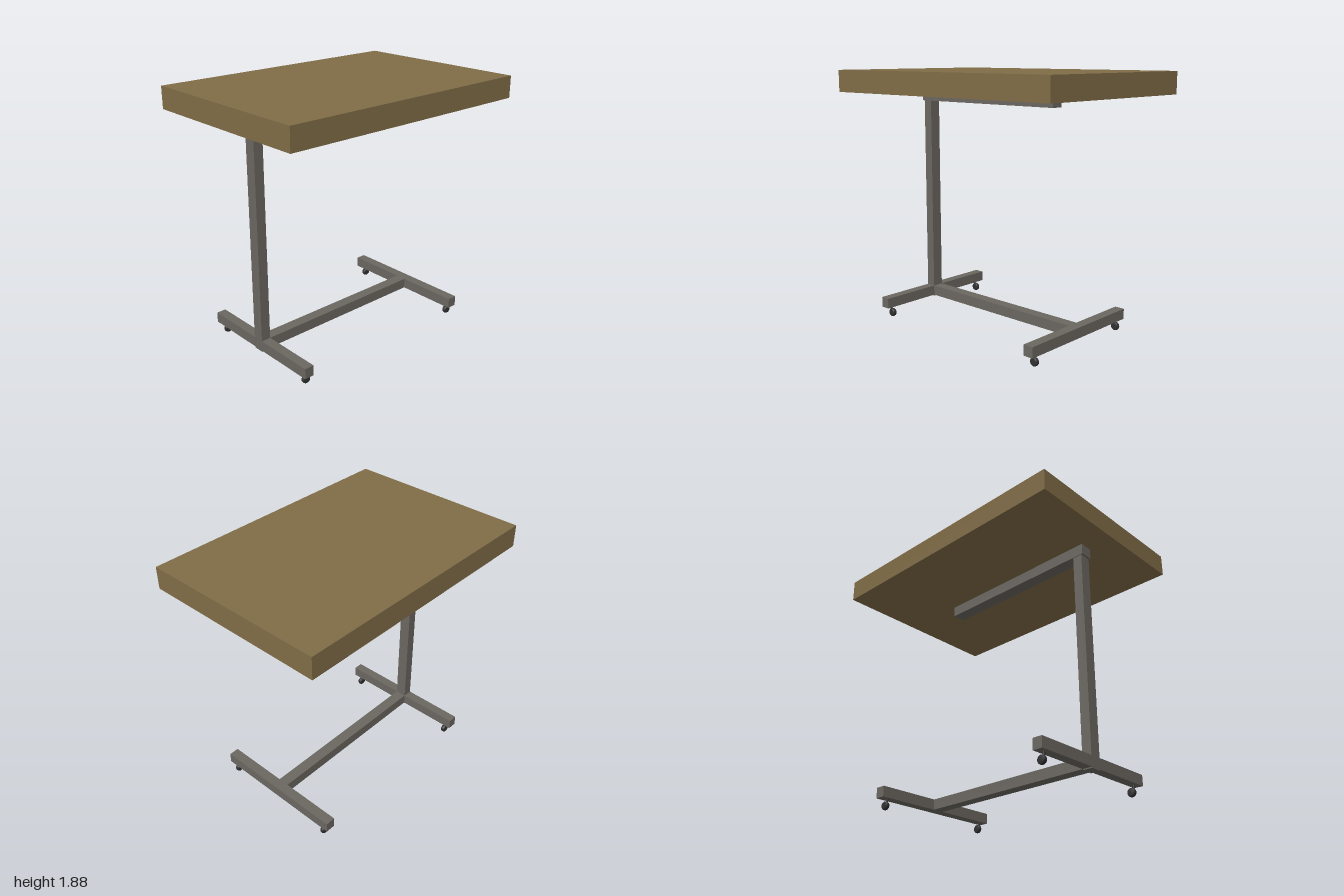
import * as THREE from 'three';

export function createModel() {
  const model = new THREE.Group();
  model.name = 'rollingTable';

  const mat = (name, color) => {
    const m = new THREE.MeshStandardMaterial({ color });
    m.name = name;
    return m;
  };
  const wood = mat('wood', 0x806d47);
  const steel = mat('steel', 0x6b6660);
  const rubber = mat('rubber', 0x303030);

  // Box given by its extents in x and y and its half depth in z
  const bar = (name, material, x0, x1, y0, y1, halfZ) => {
    const mesh = new THREE.Mesh(new THREE.BoxGeometry(x1 - x0, y1 - y0, halfZ * 2), material);
    mesh.position.set((x0 + x1) / 2, (y0 + y1) / 2, 0);
    mesh.name = name;
    model.add(mesh);
  };

  bar('tableTop', wood, -1, 1, 1.72, 1.88, 0.685);
  bar('supportArm', steel, -0.8, 0.5, 1.64, 1.72, 0.047);
  bar('post', steel, -0.787, -0.715, 0.07, 1.64, 0.042);
  bar('baseRail', steel, -0.715, 0.662, 0.078, 0.155, 0.042);
  bar('rightFoot', steel, -0.787, -0.715, 0.078, 0.155, 0.515);
  bar('leftFoot', steel, 0.662, 0.737, 0.078, 0.155, 0.515);

  // Casters: a rounded wheel trailing behind a short stem
  const profile = [[0, -0.016], [0.024, -0.016], [0.029, -0.011], [0.031, -0.005],
    [0.031, 0.005], [0.029, 0.011], [0.024, 0.016], [0, 0.016]]
    .map(([r, y]) => new THREE.Vector2(r, y));
  const wheelGeo = new THREE.LatheGeometry(profile, 24).rotateX(Math.PI / 2);
  const stemGeo = new THREE.CylinderGeometry(0.008, 0.008, 0.045, 12);

  for (const x of [-0.735, 0.705]) {
    for (const z of [-0.456, 0.456]) {
      const caster = new THREE.Group();
      caster.name = 'caster';
      caster.position.set(x, 0, z);
      const wheel = new THREE.Mesh(wheelGeo, rubber);
      wheel.name = 'wheel';
      wheel.position.y = 0.031;
      const stem = new THREE.Mesh(stemGeo, rubber);
      stem.name = 'stem';
      stem.position.set(-0.015, 0.0575, 0);
      caster.add(wheel, stem);
      model.add(caster);
    }
  }
  return model;
}
